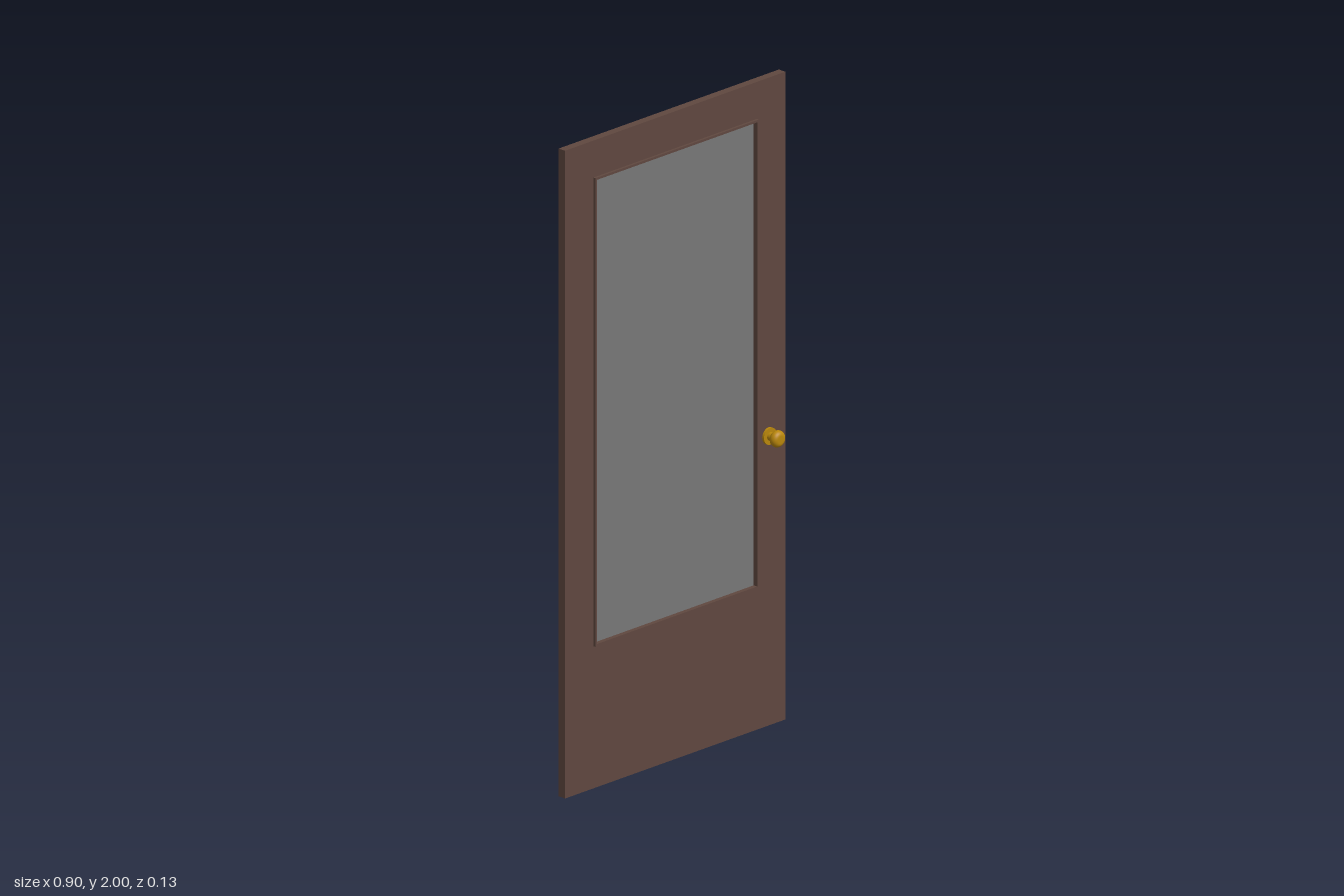
import * as THREE from 'three';

const BROWN = new THREE.MeshStandardMaterial({ color: 0x5f473f });
const GLASS = new THREE.MeshStandardMaterial({ color: 0x777777 });
const BRASS = new THREE.MeshStandardMaterial({ color: 0xb8860b });

// Rectangular outline, used for both frames and holes
function rect(target, x, y0, y1) {
  target.moveTo(-x, y0);
  target.lineTo(x, y0);
  target.lineTo(x, y1);
  target.lineTo(-x, y1);
  target.closePath();
  return target;
}

// Flat frame with a rectangular opening, from z0 to z1
function frame(name, outer, inner, z0, z1) {
  const shape = rect(new THREE.Shape(), ...outer);
  shape.holes.push(rect(new THREE.Path(), ...inner));
  const geometry = new THREE.ExtrudeGeometry(shape, { depth: z1 - z0, bevelEnabled: false });
  geometry.translate(0, 0, z0);
  const mesh = new THREE.Mesh(geometry, BROWN);
  mesh.name = name;
  return mesh;
}

// Turned part around the handle axis, pointing away from the door
function turned(name, points) {
  const profile = points.map(([r, h]) => new THREE.Vector2(r, h));
  const mesh = new THREE.Mesh(new THREE.LatheGeometry(profile, 32), BRASS);
  mesh.rotation.x = Math.PI / 2;
  mesh.name = name;
  return mesh;
}

function doorKnob(name) {
  const knob = new THREE.Group();
  knob.name = name;

  // Flat disc against the door
  const plate = new THREE.Mesh(new THREE.CylinderGeometry(0.026, 0.026, 0.008, 32), BRASS);
  plate.rotation.x = Math.PI / 2;
  plate.position.z = 0.0165;
  plate.name = 'rosette';

  const neck = new THREE.Mesh(new THREE.CylinderGeometry(0.013, 0.013, 0.018, 32), BRASS);
  neck.rotation.x = Math.PI / 2;
  neck.position.z = 0.028;
  neck.name = 'neck';

  // Rounded rim with a flat centre
  const points = [[0, 0.0345]];
  for (let i = 0; i <= 14; i++) {
    const a = -Math.PI / 2 + (i / 14) * Math.PI;
    points.push([0.011 + 0.0145 * Math.cos(a), 0.0495 + 0.015 * Math.sin(a)]);
  }
  points.push([0, 0.0645]);
  knob.add(plate, neck, turned('knob', points));
  return knob;
}

export function createModel() {
  const door = new THREE.Group();
  door.name = 'door';

  // Door leaf and the thin raised bead around the window
  door.add(frame('doorLeaf', [0.452, 0, 2], [0.33, 0.445, 1.88], -0.014, 0.012));
  door.add(frame('windowBead', [0.336, 0.439, 1.886], [0.329, 0.446, 1.879], 0.012, 0.02));

  const glass = new THREE.Mesh(new THREE.BoxGeometry(0.66, 1.435, 0.008), GLASS);
  glass.position.set(0, 1.1625, 0);
  glass.name = 'windowPane';
  door.add(glass);

  // Matching knobs on both faces
  for (const [name, turn] of [['frontKnob', 0], ['backKnob', Math.PI]]) {
    const knob = doorKnob(name);
    knob.rotation.y = turn;
    knob.position.set(0.383, 0.895, -0.0012);
    door.add(knob);
  }
  return door;
}
